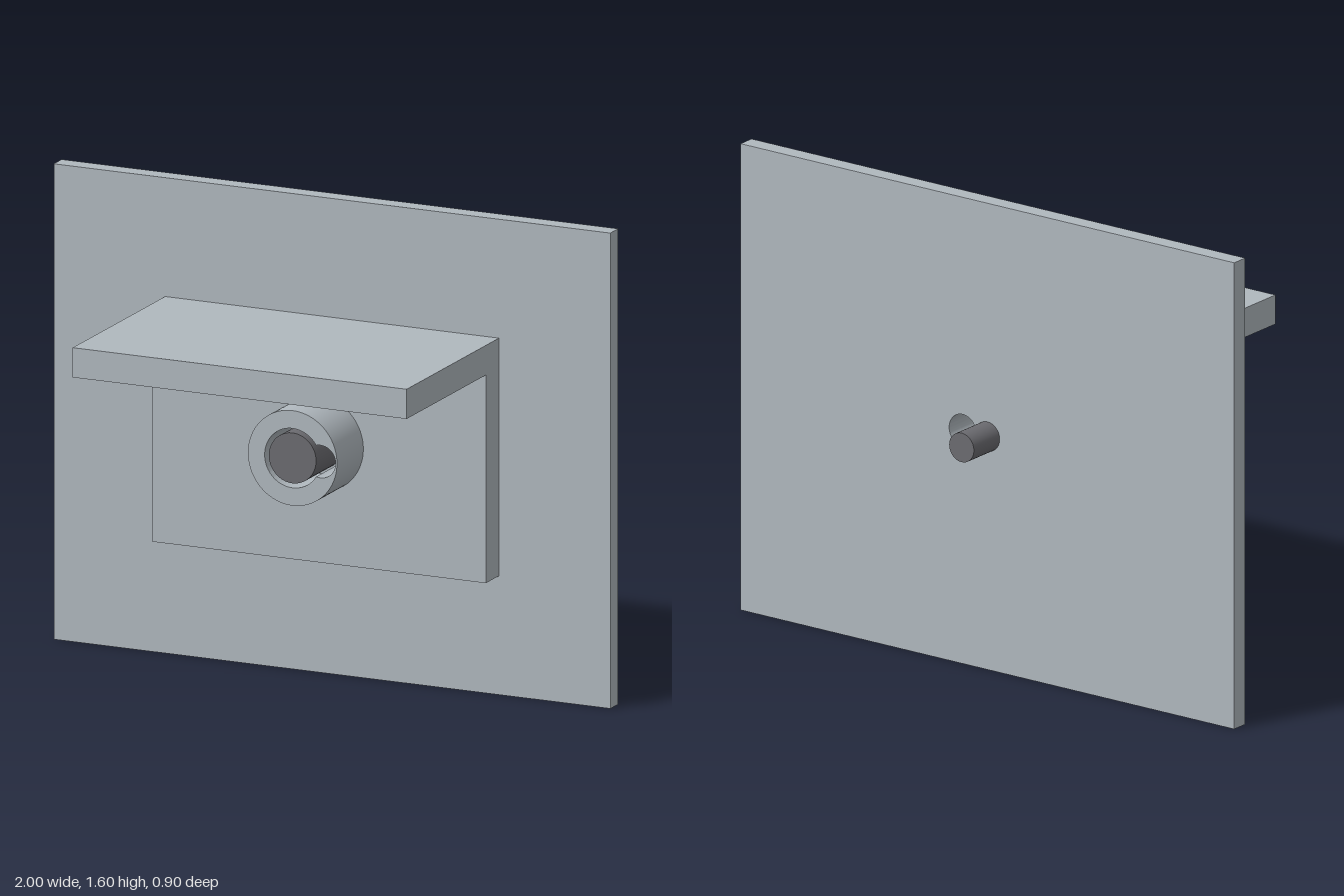
import * as THREE from 'three';
import { toCreasedNormals } from 'three/addons/utils/BufferGeometryUtils.js';

const AXIS_Y = 0.8; // height of the boss and pin axis
const HOLE_X = 0.1, HOLE_R = 0.055; // off-centre hole through all the plates
const BORE_R = 0.1;

export function createModel() {
  const group = new THREE.Group();
  const grey = new THREE.MeshStandardMaterial({ color: 0xb0b8be });
  grey.name = 'light grey metal';
  const dark = new THREE.MeshStandardMaterial({ color: 0x6b6b70 });
  dark.name = 'dark grey metal';

  const add = (name, geometry, material, x, y, z) => {
    const mesh = new THREE.Mesh(geometry, material);
    mesh.name = name;
    mesh.position.set(x, y, z);
    group.add(mesh);
  };
  const extrude = (shape, depth) => toCreasedNormals(
    new THREE.ExtrudeGeometry(shape, { depth, bevelEnabled: false, curveSegments: 40 }), 0.5);

  // Rectangular plate with the off-centre hole
  const drilledPlate = (halfWidth, y0, y1, depth) => {
    const shape = new THREE.Shape([
      new THREE.Vector2(-halfWidth, y0), new THREE.Vector2(halfWidth, y0),
      new THREE.Vector2(halfWidth, y1), new THREE.Vector2(-halfWidth, y1),
    ]);
    shape.holes.push(new THREE.Path().absarc(HOLE_X, AXIS_Y, HOLE_R, 0, Math.PI * 2));
    return extrude(shape, depth);
  };
  add('backPlate', drilledPlate(1, 0, 1.6, 0.06), grey, 0, 0, -0.31);
  add('bracketUpright', drilledPlate(0.6, 0.4, 1.2, 0.1), grey, 0, 0, -0.25);
  add('bracketShelf', new THREE.BoxGeometry(1.2, 0.1, 0.6), grey, 0, 1.15, 0.15);

  // Round boss: central bore merged with the off-centre hole
  const ix = (BORE_R ** 2 + HOLE_X ** 2 - HOLE_R ** 2) / (2 * HOLE_X);
  const iy = Math.sqrt(BORE_R ** 2 - ix ** 2);
  const boreAngle = Math.atan2(iy, ix);
  const holeAngle = Math.atan2(iy, ix - HOLE_X);
  const ring = new THREE.Shape().absarc(0, 0, 0.16, 0, Math.PI * 2);
  ring.holes.push(new THREE.Path()
    .absarc(0, 0, BORE_R, boreAngle, Math.PI * 2 - boreAngle)
    .absarc(HOLE_X, 0, HOLE_R, -holeAngle, holeAngle));
  add('boss', extrude(ring, 0.2), grey, 0, AXIS_Y, -0.15);

  // Stepped pin: wide in the bore, narrow out of the back
  const rod = (radius, length) => new THREE.CylinderGeometry(radius, radius, length, 40).rotateX(Math.PI / 2);
  add('pinHead', rod(0.085, 0.2), dark, 0, AXIS_Y, -0.05);
  add('pinShaft', rod(0.05, 0.3), dark, 0, AXIS_Y, -0.3);

  return group;
}
